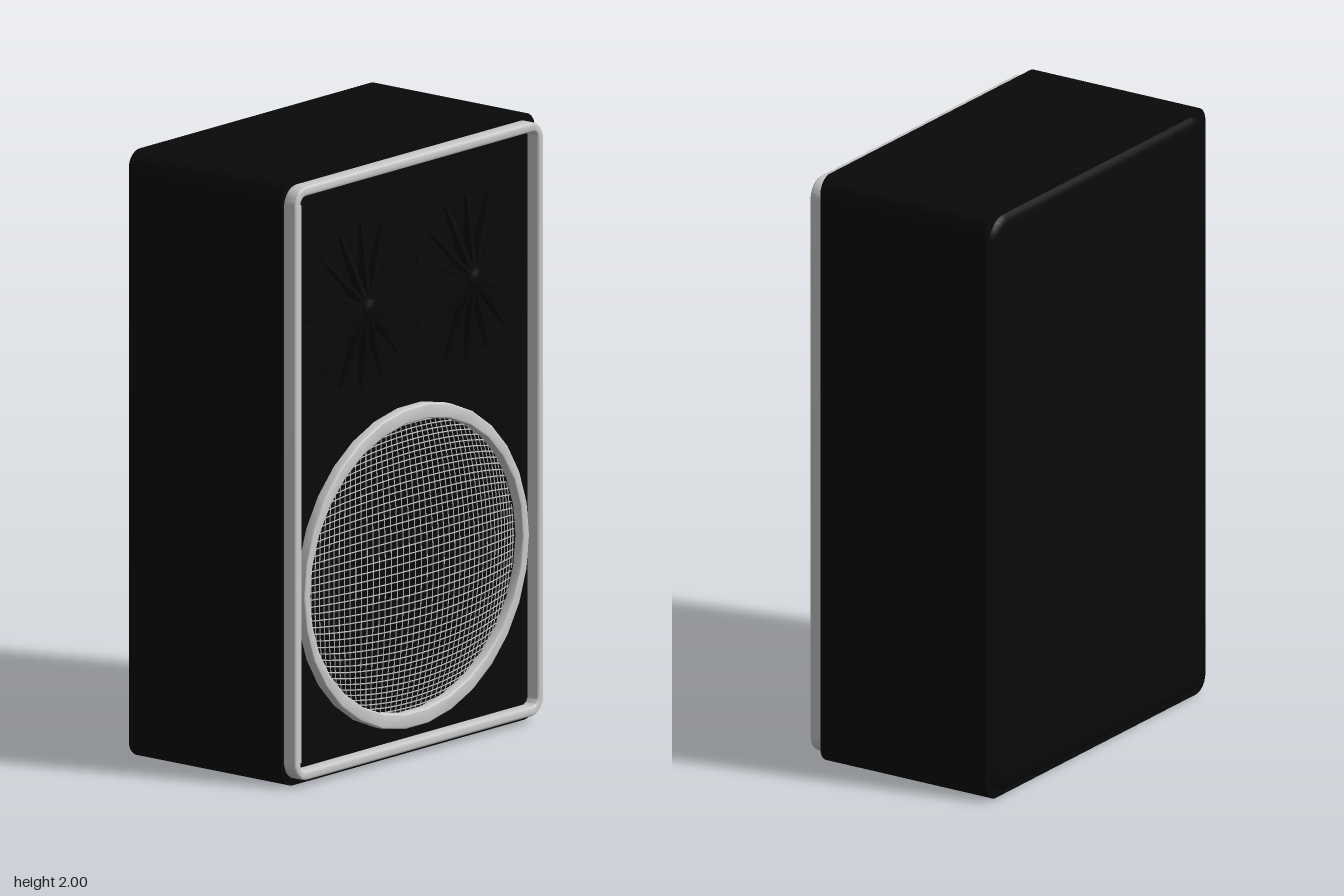
import * as THREE from 'three';
import { toCreasedNormals } from 'three/addons/utils/BufferGeometryUtils.js';

const black = new THREE.MeshStandardMaterial({ color: 0x090909 });
const grey = new THREE.MeshStandardMaterial({ color: 0xcccccc });

function add(parent, name, geometry, material, x = 0, y = 0, z = 0) {
  const mesh = new THREE.Mesh(geometry, material);
  mesh.name = name;
  mesh.position.set(x, y, z);
  parent.add(mesh);
  return mesh;
}

// Rounded rectangle centred on the origin
function roundRect(target, hw, hh, r) {
  target.moveTo(-hw + r, -hh);
  target.lineTo(hw - r, -hh);
  target.absarc(hw - r, -hh + r, r, -Math.PI / 2, 0);
  target.lineTo(hw, hh - r);
  target.absarc(hw - r, hh - r, r, 0, Math.PI / 2);
  target.lineTo(-hw + r, hh);
  target.absarc(-hw + r, hh - r, r, Math.PI / 2, Math.PI);
  target.lineTo(-hw, -hh + r);
  target.absarc(-hw + r, -hh + r, r, Math.PI, Math.PI * 1.5);
  return target;
}

function extrude(shape, depth, bevel = 0, bevelThickness = bevel, curveSegments = 6) {
  const geometry = new THREE.ExtrudeGeometry(shape, {
    depth, curveSegments, bevelEnabled: bevel > 0,
    bevelSize: bevel, bevelThickness, bevelSegments: 3,
  });
  return toCreasedNormals(geometry, 0.6);
}

// Point on the domed grille: u, v lie in the unit disc
function domePoint(u, v) {
  const r = Math.hypot(u, v);
  const bulge = Math.sin(r * 1.05) / Math.sin(1.05);
  const k = r > 1e-6 ? bulge / r : 1.05 / Math.sin(1.05);
  return new THREE.Vector3(u * k * 0.52, v * k * 0.49, 0.355 - 0.05 * bulge * bulge);
}

function createWoofer() {
  const woofer = new THREE.Group();
  woofer.name = 'woofer';
  woofer.position.y = 0.62;

  // Oval trim ring
  const ring = new THREE.Shape().absellipse(0, 0, 0.555, 0.525, 0, Math.PI * 2);
  ring.holes.push(new THREE.Path().absellipse(0, 0, 0.535, 0.485, 0, Math.PI * 2));
  add(woofer, 'wooferRing', extrude(ring, 0.032, 0.005, 0.005, 15), grey, 0, 0, 0.3);

  // Woven wires following the dome
  const lines = 43;
  for (let i = 0; i < lines; i++) {
    const a = -1 + (2 * (i + 0.5)) / lines;
    const half = Math.sqrt(1 - a * a);
    for (const vertical of [true, false]) {
      const points = [];
      for (let j = 0; j <= 10; j++) {
        const b = half * (j / 5 - 1);
        points.push(vertical ? domePoint(a, b) : domePoint(b, a));
      }
      const wire = new THREE.TubeGeometry(new THREE.CatmullRomCurve3(points), 18, 0.0022, 4);
      add(woofer, 'grilleWire', wire, grey);
    }
  }
  return woofer;
}

function createTweeter(x) {
  const tweeter = new THREE.Group();
  tweeter.name = 'tweeter';
  tweeter.position.set(x, 1.52, 0.3);

  // Rounded hub
  const profile = [[0.036, 0], [0.034, 0.045], [0.026, 0.056], [0, 0.057]]
    .map(([r, h]) => new THREE.Vector2(r, h));
  add(tweeter, 'tweeterHub', new THREE.LatheGeometry(profile, 16), black).rotation.x = Math.PI / 2;

  // Radial fins sloping from the hub to the rim
  const fin = new THREE.Shape();
  fin.moveTo(0.02, 0);
  fin.lineTo(0.27, 0);
  fin.lineTo(0.27, 0.015);
  fin.lineTo(0.02, 0.045);
  const finGeometry = new THREE.ExtrudeGeometry(fin, { depth: 0.014, bevelEnabled: false });
  finGeometry.translate(0, 0, -0.007).rotateX(Math.PI / 2);
  for (let i = 0; i < 16; i++) {
    add(tweeter, 'tweeterFin', finGeometry, black).rotation.z = (i / 16) * Math.PI * 2;
  }
  return tweeter;
}

export function createModel() {
  const model = new THREE.Group();
  model.name = 'loudspeaker';

  // Cabinet body and its softly rounded back
  add(model, 'cabinet', extrude(roundRect(new THREE.Shape(), 0.63, 1, 0.055), 0.64), black, 0, 1, -0.34);
  add(model, 'backPanel', extrude(roundRect(new THREE.Shape(), 0.565, 0.93, 0.03), 0.01, 0.05, 0.017),
    black, 0, 1, -0.341);

  // Front frame with a softened edge
  const frame = roundRect(new THREE.Shape(), 0.612, 0.972, 0.055);
  frame.holes.push(roundRect(new THREE.Path(), 0.61 - 0.003, 0.958, 0.04));
  const opening = roundRect(new THREE.Path(), 0.598, 0.955, 0.035);
  frame.holes[0] = opening;
  add(model, 'frontFrame', extrude(frame, 0.04, 0.007), grey, 0, 1, 0.301);

  // Slim inner trim along one side of the frame
  add(model, 'innerTrim', new THREE.BoxGeometry(0.02, 1.84, 0.04), grey, -0.59, 1, 0.32);

  // Baffle and drivers
  add(model, 'baffle', new THREE.BoxGeometry(1.2, 1.91, 0.01), black, 0, 1, 0.298);
  model.add(createWoofer(), createTweeter(-0.245), createTweeter(0.28));
  return model;
}
